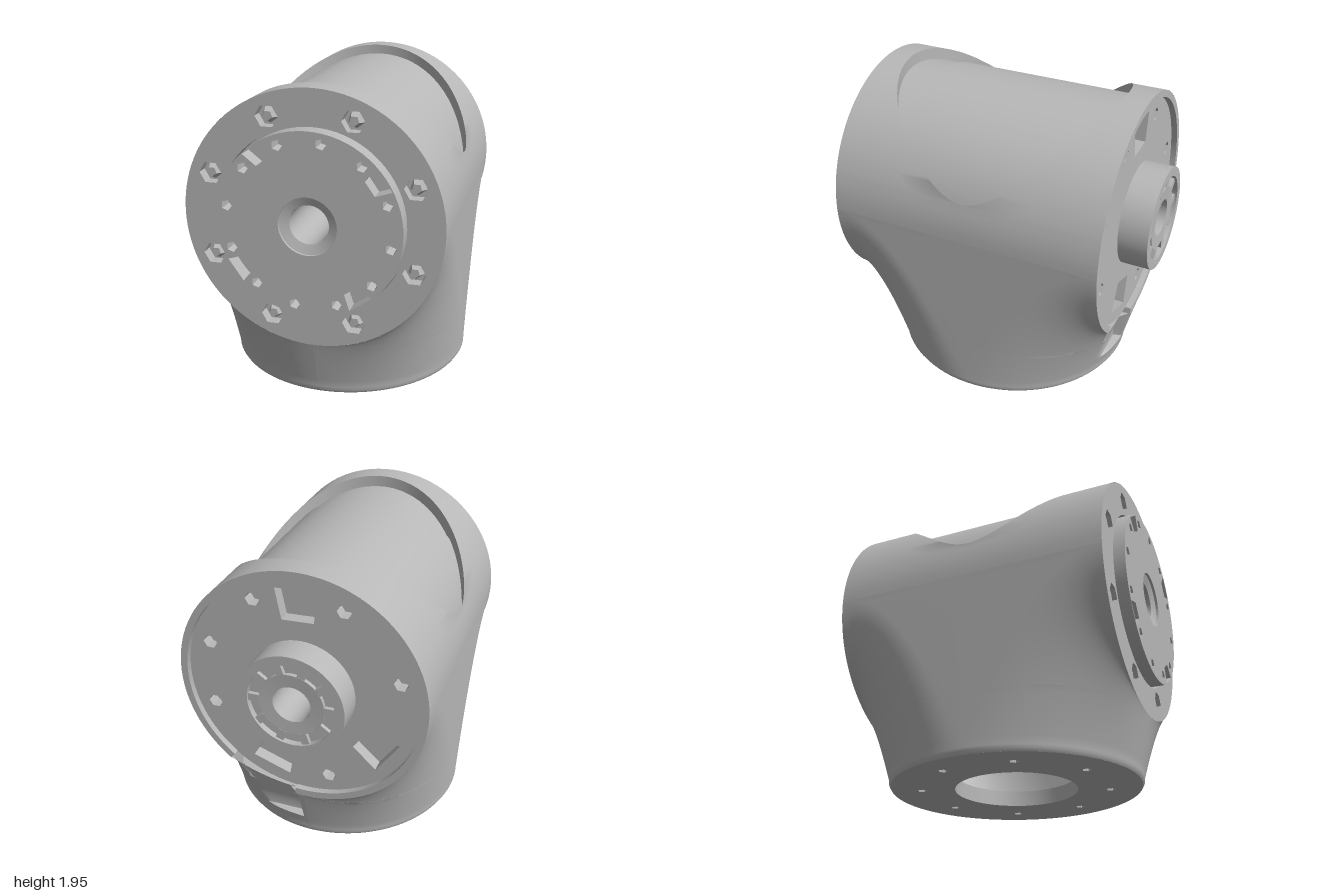
import * as THREE from 'three';
import { mergeGeometries, toCreasedNormals } from 'three/addons/utils/BufferGeometryUtils.js';

const R = 0.79, CY = 1.16, ZC = 0.04;      // housing radius, axis height, base centre
const HX = 0.75, HZ = 0.735;               // radii of the top opening
const FRONT = 0.93, BACK = -0.85;
const rad = THREE.MathUtils.degToRad, lerp = THREE.MathUtils.lerp;

// Surface through rows of points (all rows equally long)
function grid(rows) {
  const n = rows[0].length, index = [];
  for (let i = 0; i < rows.length - 1; i++)
    for (let j = 0; j < n - 1; j++) {
      const a = i * n + j, b = a + n;
      index.push(a, b, a + 1, b, b + 1, a + 1);
    }
  const g = new THREE.BufferGeometry();
  g.setAttribute('position', new THREE.Float32BufferAttribute(rows.flat(2), 3));
  g.setIndex(index);
  return g;
}

// Closed outline with corners or a smooth circle
function disc(r, rz = r, x = 0, y = 0, sides = 64, Type = THREE.Path) {
  const pts = [];
  for (let i = 0; i < sides; i++) {
    const a = (i / sides) * Math.PI * 2;
    pts.push(new THREE.Vector2(x + r * Math.cos(a), y + rz * Math.sin(a)));
  }
  return new Type(pts);
}

// Trapezoid pocket lying across a radius
function pocket(deg, r0, r1, w0, w1) {
  const a = rad(deg);
  return new THREE.Path([[r0, -w0], [r1, -w1], [r1, w1], [r0, w0]].map(([u, v]) =>
    new THREE.Vector2(u * Math.cos(a) - v * Math.sin(a), u * Math.sin(a) + v * Math.cos(a))));
}

const ringOf = (count, start, r) => Array.from({ length: count }, (_, i) => {
  const a = rad(start) + (i / count) * Math.PI * 2;
  return [r * Math.cos(a), r * Math.sin(a)];
});

const extrude = (shape, z0, z1) =>
  new THREE.ExtrudeGeometry(shape, { depth: z1 - z0, bevelEnabled: false, curveSegments: 48 }).translate(0, 0, z0);

// Lathe around the z axis from [radius, z] points
const latheZ = (pts, seg = 64) =>
  new THREE.LatheGeometry(pts.map(p => new THREE.Vector2(...p)), seg).rotateX(Math.PI / 2);

// Quarter of a horizontal section: each rib runs from the flange circle down to
// the base ellipse, leaving the flange along the barrel and ending upright
function quarter(y) {
  const foot = 0.04, pts = [];
  const yy = Math.max(y, foot);
  const maxB = Math.asin(Math.min(1, (CY - yy) / R));
  for (let i = 0; i <= 32; i++) {
    const b = maxB * (1 - i / 32);
    const g = b + 0.25 * Math.sin(2 * b);
    const yb = CY - R * Math.sin(b);
    const t = Math.max(0, Math.min(1, (yb - yy) / (yb - foot)));
    const f = Math.pow(t, 1 - 0.5 * Math.cos(b));
    pts.push([R * lerp(Math.cos(b), Math.cos(g), f), lerp(0.89, 0.81 * Math.sin(g), f)]);
  }
  pts.push([R, 0]);
  return pts;
}

function lowerHousing() {
  const ys = [0, 0.02, 0.04, 0.09, 0.135, 0.145, 0.2, 0.25, 0.3, 0.34];
  for (let i = 0; i <= 32; i++) ys.push(CY - R * Math.cos((i / 32) * Math.PI / 2));
  return mergeGeometries([1, -1].map(s => grid(ys.map(y => {
    const k = y === 0 ? 0.985 : 1, q = quarter(y);
    const half = [...q, ...q.slice(0, -1).reverse().map(([x, z]) => [x, -z])];
    return half.map(([x, z]) => {
      let wz = ZC + z * k;
      // scoop in the lower back wall, left of centre
      if (s > 0 && y > 0.14 && y < 0.56 && x > 0.05 && x < 0.5)
        wz = Math.max(wz, -0.74 - Math.max(0, y - 0.2) * 0.3);
      return [s * x * k, y, wz];
    });
  }))));
}

// Upper half of the barrel with the round opening cut straight down
function upperHousing() {
  const t0 = Math.acos(HX / R), edge = [];
  for (let i = 0; i < 5; i++) edge.push([R * Math.cos(t0 * i / 5), 0]);
  for (let i = 0; i <= 72; i++) {
    const a = (i / 72) * Math.PI;
    edge.push([HX * Math.cos(a), HZ * Math.sin(a)]);
  }
  for (let i = 4; i >= 0; i--) edge.push([-R * Math.cos(t0 * i / 5), 0]);
  const top = x => CY + Math.sqrt(Math.max(0, R * R - x * x));
  const inner = x => CY + Math.sqrt(Math.max(0, 0.715 ** 2 - x * x));
  const parts = [];
  for (const [s, end] of [[1, FRONT], [-1, BACK]]) {
    parts.push(grid(edge.map(([x, z]) => [0, 0.35, 0.7, 1].map(t => {
      const z0 = ZC + s * z;
      return [x, top(x), z0 + (end - z0) * t];
    }))));
    parts.push(grid(edge.slice(5, -5).map(([x, z]) =>
      [[x, top(x), ZC + s * z], [x, inner(x), ZC + s * z]])));
  }
  return mergeGeometries(parts);
}

export function createModel() {
  const model = new THREE.Group();
  const grey = new THREE.MeshStandardMaterial({ color: 0xb8b8b8, side: THREE.DoubleSide });
  grey.name = 'castGrey';
  const add = (name, geo, parent = model, crease = 0.55) => {
    const mesh = new THREE.Mesh(toCreasedNormals(geo, crease), grey);
    mesh.name = name;
    parent.add(mesh);
  };

  add('lowerHousing', lowerHousing());
  add('upperHousing', upperHousing());

  // Base plate with a central opening and bolt holes
  const base = disc(0.778, 0.798, 0, 0, 72, THREE.Shape);
  base.holes.push(disc(0.39, 0.39, 0, 0, 48));
  for (const [x, y] of ringOf(8, 22.5, 0.6)) base.holes.push(disc(0.03, 0.03, x, y, 5));
  add('basePlate', extrude(base, 0, 0.1).rotateX(-Math.PI / 2).translate(0, 0, ZC));

  // Everything on the barrel axis
  const barrel = new THREE.Group();
  barrel.name = 'barrel';
  barrel.position.y = CY;
  model.add(barrel);

  // Inner motor can with its through bore, collar and rear hub
  add('motor', latheZ([
    [0.12, -0.98], [0.12, 0.965], [0.18, 0.985], [0.18, 0.86], [0.77, 0.86], [0.77, 0.84], [0.716, 0.84],
    [0.716, 0.555], [0.728, 0.55], [0.728, -0.72], [0.335, -0.72], [0.335, -1], [0.275, -1],
    [0.275, -0.96], [0.205, -0.96], [0.205, -0.985], [0.12, -0.98],
  ]), barrel);

  // Front flange with hexagonal bolt recesses
  const flange = disc(R, R, 0, 0, 96, THREE.Shape);
  flange.holes.push(disc(0.575, 0.575, 0, 0, 72));
  const bolts = ringOf(8, 22.5, 0.665);
  for (const [x, y] of bolts) flange.holes.push(disc(0.07, 0.07, x, y, 6));
  add('frontFlange', extrude(flange, 0.86, FRONT), barrel);
  for (const [x, y] of bolts)
    add('flangeBolt', new THREE.CylinderGeometry(0.03, 0.052, 0.05, 5).rotateX(Math.PI / 2).translate(x, y, 0.885), barrel, 0.1);

  // Raised output disc with small screw holes and four notches
  const output = disc(0.562, 0.562, 0, 0, 72, THREE.Shape);
  output.holes.push(disc(0.178, 0.178, 0, 0, 32));
  for (const [x, y] of ringOf(12, 20, 0.5)) output.holes.push(disc(0.034, 0.034, x, y, 5));
  for (let i = 0; i < 4; i++) output.holes.push(pocket(35 + i * 90, 0.45, 0.55, 0.05, 0.08));
  add('outputDisc', extrude(output, 0.9, 1), barrel);

  // Rear rim, open above the scoop
  const a0 = rad(-51), a1 = rad(274);
  const rim = new THREE.Shape();
  rim.absarc(0, 0, R, a0, a1, false);
  rim.absarc(0, 0, 0.745, a1, a0, true);
  add('rearRim', extrude(rim, BACK, -0.74), barrel);

  // Recessed rear plate with pockets and bolt holes
  const rear = disc(0.75, 0.75, 0, 0, 72, THREE.Shape);
  rear.holes.push(disc(0.33, 0.33, 0, 0, 48));
  for (const deg of [88, 215, 290]) rear.holes.push(pocket(deg, 0.46, 0.66, 0.1, 0.13));
  for (const deg of [20, 62, 115, 165, 255, 340])
    rear.holes.push(disc(0.045, 0.045, 0.63 * Math.cos(rad(deg)), 0.63 * Math.sin(rad(deg)), 6));
  add('rearPlate', extrude(rear, -0.81, -0.73), barrel);

  // Small blocks in the groove of the rear hub
  ringOf(10, 0, 0.24).forEach(([x, y], i) => {
    const block = new THREE.BoxGeometry(0.07, 0.05, 0.04).rotateZ(i / 10 * Math.PI * 2).translate(x, y, -0.965);
    add('hubBlock', block, barrel);
  });

  return model;
}
